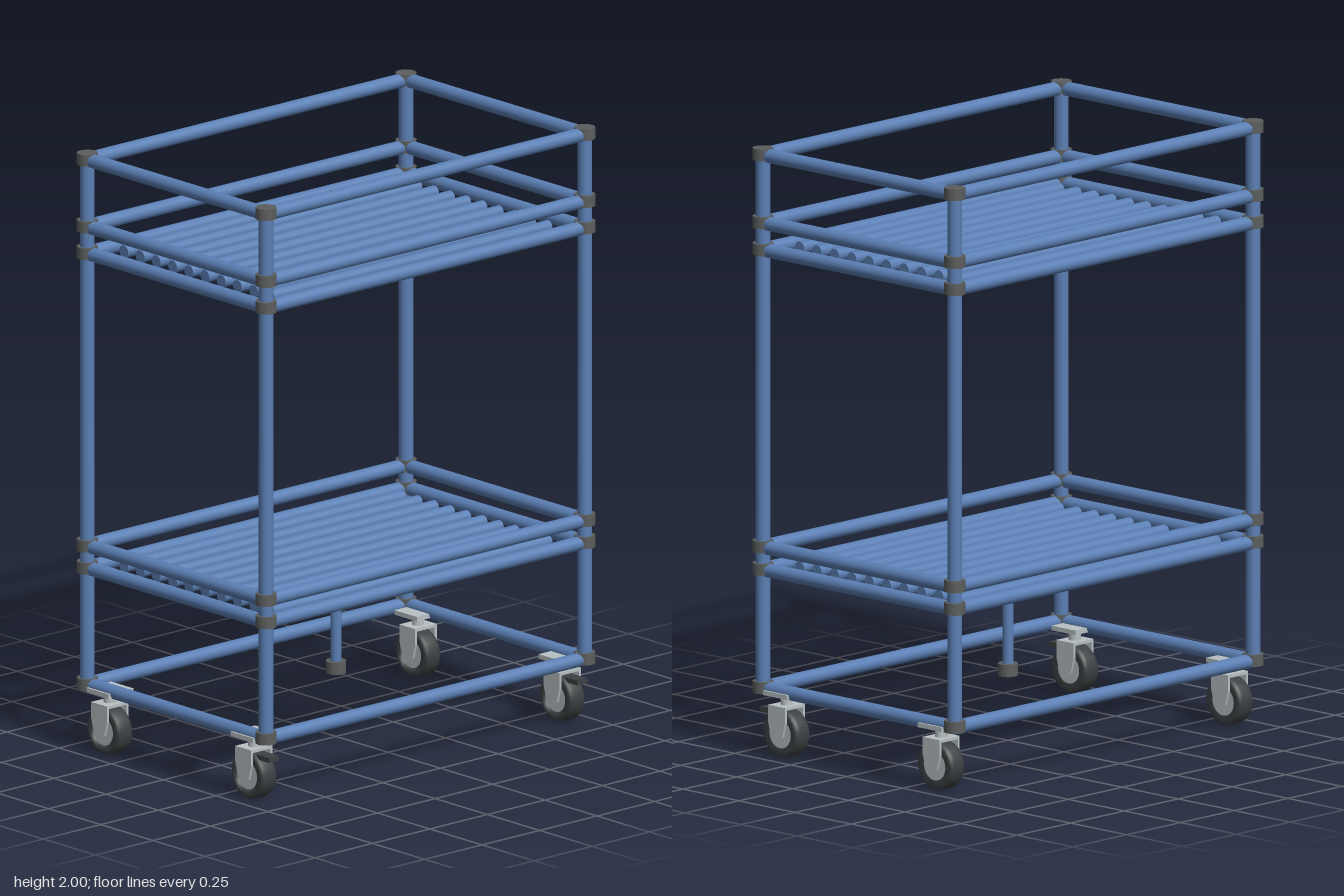
import * as THREE from 'three';

const mat = (color) => new THREE.MeshStandardMaterial({ color });

export function createModel() {
  const cart = new THREE.Group();
  cart.name = 'cart';
  const blue = mat(0x5b7fb4), jointGrey = mat(0x5c5e5e), rubber = mat(0x3c4042), steel = mat(0xb9c1c5);
  const X = 0.693, Z = 0.428, TUBE = 0.0235;

  const add = (parent, name, geometry, material, x = 0, y = 0, z = 0) => {
    const m = new THREE.Mesh(geometry, material);
    m.name = name;
    m.position.set(x, y, z);
    parent.add(m);
    return m;
  };
  const rod = (r, length, axis = 'y') => {
    const g = new THREE.CylinderGeometry(r, r, length, 24);
    if (axis === 'x') g.rotateZ(Math.PI / 2);
    if (axis === 'z') g.rotateX(Math.PI / 2);
    return g;
  };
  const box = (w, h, d) => new THREE.BoxGeometry(w, h, d);

  // Corner posts
  const levels = [0.222, 0.612, 0.686, 1.666, 1.755, 1.979];
  for (const x of [-X, X]) for (const z of [-Z, Z]) {
    add(cart, 'post', rod(TUBE, 1.79), blue, x, 1.1, z);
    for (const y of levels) add(cart, 'joint', rod(0.034, 0.038), jointGrey, x, y + 0.001, z);
  }

  // Horizontal frames
  for (const y of levels) for (const s of [-1, 1]) {
    add(cart, 'longRail', rod(TUBE - 0.0035, 2 * X, 'x').scale(1, 1.15, 1.15), blue, 0, y - 0.003, s * Z);
    add(cart, 'sideRail', rod(TUBE - 0.0035, 2 * Z, 'z').scale(1.15, 1.15, 1), blue, s * X, y - 0.003, 0);
  }

  // Shelf slats
  for (const y of [0.612, 1.666]) for (let i = 0; i < 10; i++)
    add(cart, 'slat', rod(0.021, 1.21, 'x'), blue, 0, y, (i - 4.5) * 0.0777);

  // Centre support and its foot
  add(cart, 'centreSupport', rod(0.0185, 0.37), blue, 0, 0.415, 0);
  add(cart, 'supportFoot', rod(0.033, 0.04), jointGrey, 0, 0.235, 0);

  // Tyre with rounded shoulders, spun around x
  const tyreProfile = [[0.048, -0.03], [0.068, -0.033], [0.077, -0.027], [0.08, -0.016],
    [0.08, 0.016], [0.077, 0.027], [0.068, 0.033], [0.048, 0.03], [0.048, -0.03]];
  const tyre = new THREE.LatheGeometry(tyreProfile.map(([r, h]) => new THREE.Vector2(r, h)), 32).rotateZ(Math.PI / 2);

  // Fork cheek outline, tapering towards the axle
  const cheek = new THREE.Shape();
  [[-0.038, 0.172], [-0.038, 0.12], [-0.025, 0.072], [0.025, 0.072], [0.038, 0.12], [0.038, 0.172]]
    .forEach(([z, y], i) => (i ? cheek.lineTo(z, y) : cheek.moveTo(z, y)));
  const cheekGeometry = new THREE.ExtrudeGeometry(cheek, { depth: 0.009, bevelEnabled: false })
    .translate(0, 0, -0.0045).rotateY(Math.PI / 2);

  // Casters
  for (const sx of [-1, 1]) for (const sz of [-1, 1]) {
    const caster = new THREE.Group();
    caster.name = 'caster';
    caster.position.set(sx * 0.67, 0, sz * 0.345);
    cart.add(caster);
    add(caster, 'mountPlate', box(0.107, 0.015, 0.107), steel, 0, 0.211, 0);
    add(caster, 'swivel', rod(0.02, 0.04), steel, 0, 0.188, 0);
    add(caster, 'forkBridge', box(0.094, 0.01, 0.076), steel, 0, 0.168, 0);
    for (const s of [-1, 1]) add(caster, 'forkCheek', cheekGeometry, steel, s * 0.0425, 0, 0);
    add(caster, 'tyre', tyre, rubber, 0, 0.08, 0);
    add(caster, 'hub', rod(0.05, 0.058, 'x'), steel, 0, 0.08, 0);
    add(caster, 'axle', rod(0.01, 0.092, 'x'), steel, 0, 0.085, 0);
    if (sz > 0) add(caster, 'brakePedal', box(0.045, 0.016, 0.06), rubber, 0, 0.147, 0.066);
  }
  return cart;
}
